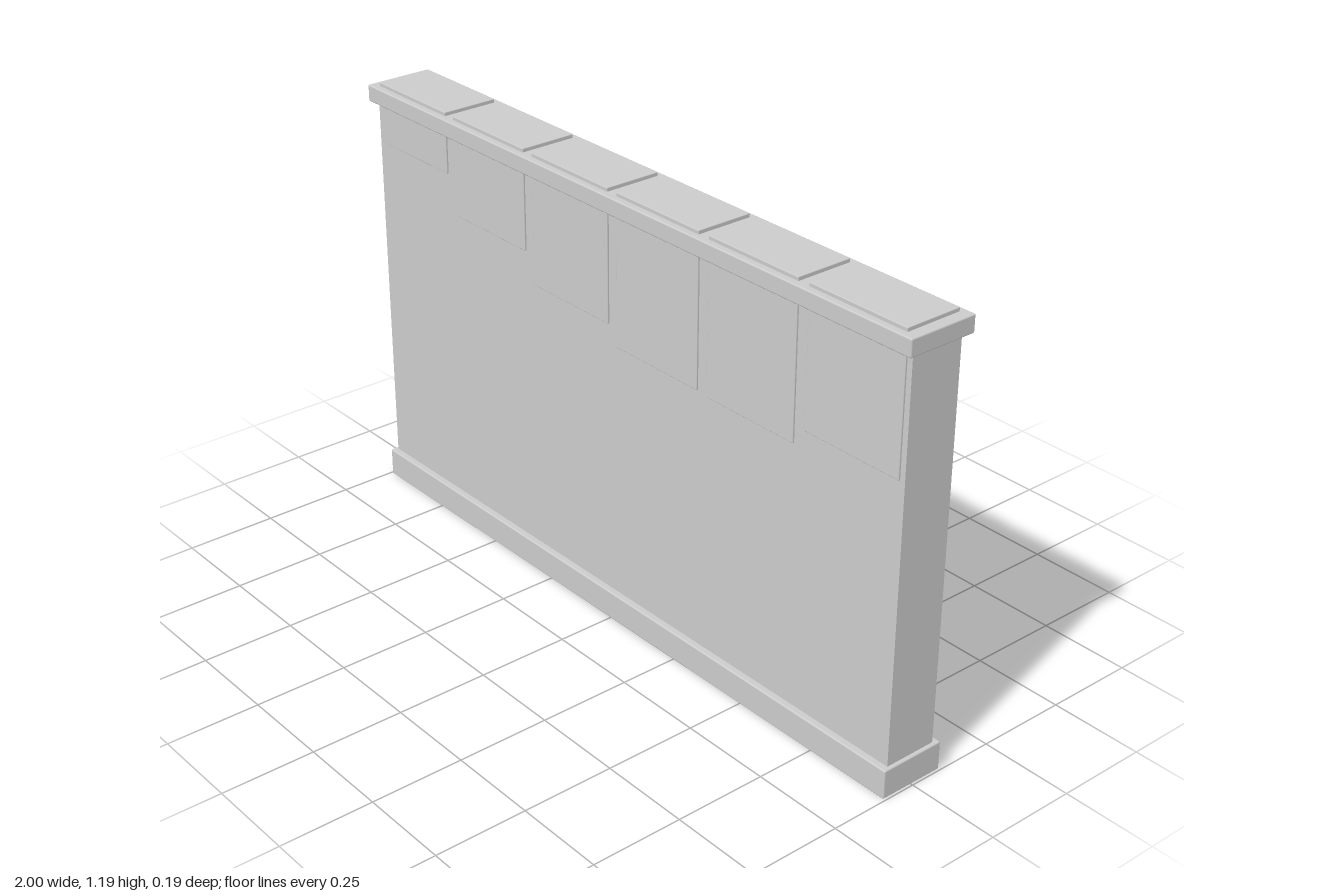
import * as THREE from 'three';
import { RoundedBoxGeometry } from 'three/addons/geometries/RoundedBoxGeometry.js';

export function createModel() {
  const group = new THREE.Group();
  const material = new THREE.MeshStandardMaterial({ color: 0xcccccc });

  const add = (name, geometry, x, y, z) => {
    const mesh = new THREE.Mesh(geometry, material);
    mesh.name = name;
    mesh.position.set(x, y, z);
    group.add(mesh);
  };
  // Softly bevelled slab centred on x, spanning bottom to top
  const slab = (name, width, bottom, top, depth, x = 0, bevel = 0.004) =>
    add(name, new RoundedBoxGeometry(width, top - bottom, depth, 2, bevel), x, (bottom + top) / 2, 0);

  // Wall body between plinth and coping
  add('wallPanel', new THREE.BoxGeometry(1.97, 1.1, 0.148), 0, 0.61, 0);
  slab('plinth', 1.99, 0, 0.079, 0.184);
  slab('coping', 2, 1.137, 1.183, 0.194);

  // Slabs straddling the wall, each hanging to its own depth
  const bottoms = [1.025, 0.918, 0.836, 0.785, 0.781, 0.828];
  bottoms.forEach((bottom, i) =>
    slab(`hangingSlab${i + 1}`, 0.295, bottom, 1.193, 0.158, (i - 2.5) * 0.329, 0.002));

  // Round studs on the back
  const stud = new THREE.SphereGeometry(0.012, 16, 12);
  for (const x of [-0.85, 0.85]) {
    for (const y of [0.38, 0.806]) add('backStud', stud, x, y, -0.074);
  }
  return group;
}
